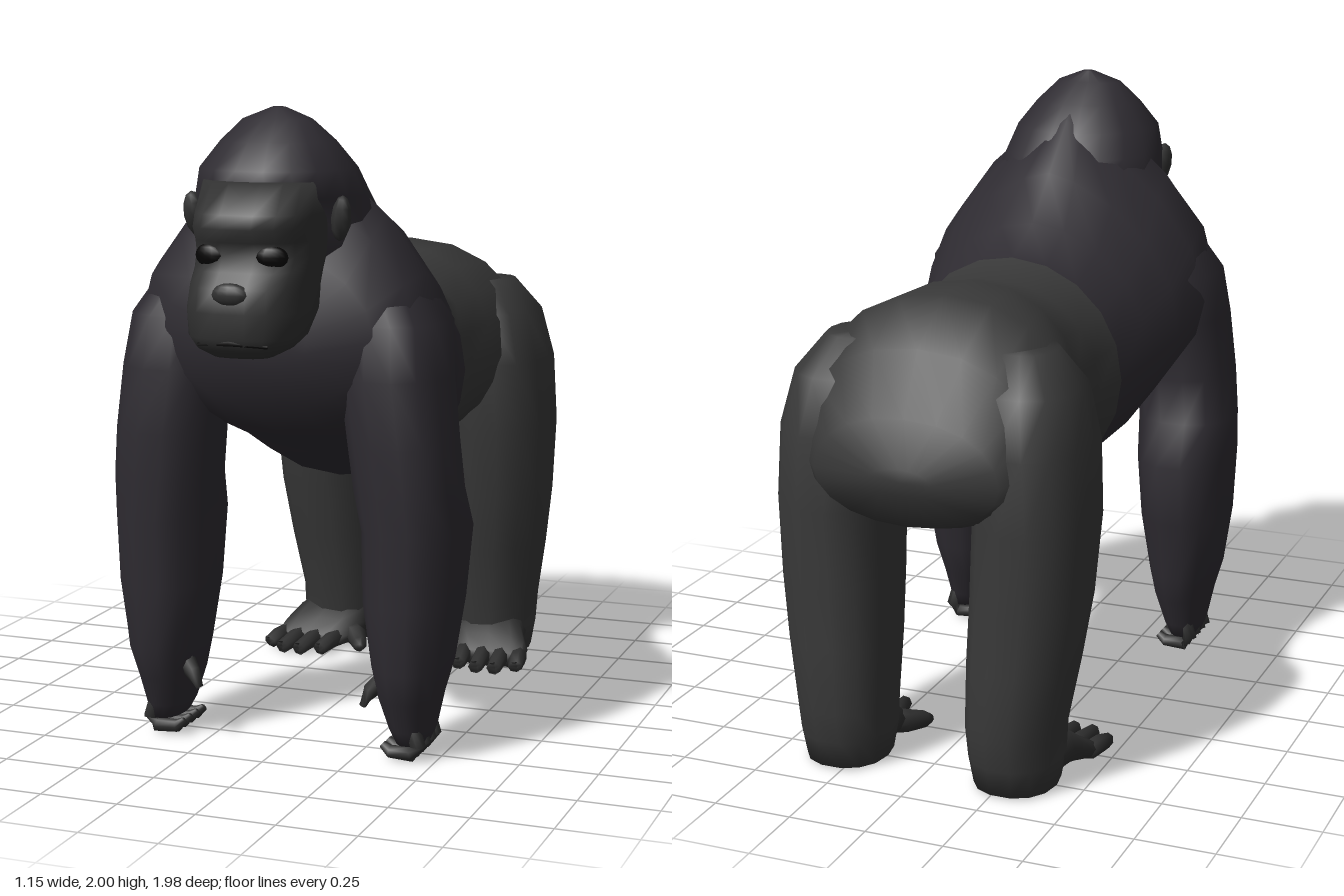
import * as THREE from 'three';

const mat = (color) => new THREE.MeshStandardMaterial({ color, roughness: 0.9 });
const darkFur = mat(0x2e2b31), greyFur = mat(0x383838), skin = mat(0x303030), black = mat(0x050404);
const V = (x, y, z) => new THREE.Vector3(x, y, z);

// Closed skin over a list of rings; winding is flipped if it comes out inside-out
function loft(rings) {
  const n = rings[0].length, pos = [], idx = [];
  rings.forEach((r) => r.forEach((p) => pos.push(p)));
  const mean = (r) => r.reduce((a, p) => a.add(p), V(0, 0, 0)).divideScalar(n);
  const first = pos.push(mean(rings[0])) - 1;
  const last = pos.push(mean(rings[rings.length - 1])) - 1;
  const end = (rings.length - 1) * n;
  for (let j = 0; j < n; j++) idx.push(first, (j + 1) % n, j);
  for (let i = 0; i < rings.length - 1; i++)
    for (let j = 0; j < n; j++) {
      const a = i * n + j, b = i * n + ((j + 1) % n);
      idx.push(a, b, a + n, b, b + n, a + n);
    }
  for (let j = 0; j < n; j++) idx.push(last, end + j, end + ((j + 1) % n));
  let volume = 0;
  for (let k = 0; k < idx.length; k += 3)
    volume += pos[idx[k]].dot(V(0, 0, 0).crossVectors(pos[idx[k + 1]], pos[idx[k + 2]]));
  if (volume < 0)
    for (let k = 0; k < idx.length; k += 3) [idx[k + 1], idx[k + 2]] = [idx[k + 2], idx[k + 1]];
  const g = new THREE.BufferGeometry().setFromPoints(pos);
  g.setIndex(idx);
  g.computeVertexNormals();
  return g;
}

const pw = (v, e) => Math.sign(v) * Math.abs(v) ** e;
const circle = (n, f) => Array.from({ length: n }, (_, i) => {
  const t = (i / n) * Math.PI * 2;
  return f(Math.cos(t), Math.sin(t));
});

// Horizontal ring: height, centre x and z, radii, squareness (below 1 is boxier)
const flatRing = (y, xc, zc, rx, rz, s = 1, e = 0.9, n = 14) =>
  circle(n, (c, d) => V(s * (xc + rx * pw(c, e)), y, zc + rz * pw(d, e)));

// Tapered digit along a few points
function digit(points, radii, n = 7) {
  return loft(points.map((p, i) => {
    const t = points[Math.min(i + 1, points.length - 1)].clone()
      .sub(points[Math.max(i - 1, 0)]).normalize();
    const ref = Math.abs(t.y) > 0.8 ? V(0, 0, 1) : V(0, 1, 0);
    const u = V(0, 0, 0).crossVectors(t, ref).normalize();
    const v = V(0, 0, 0).crossVectors(t, u);
    return circle(n, (c, d) => p.clone().addScaledVector(u, c * radii[i]).addScaledVector(v, d * radii[i]));
  }));
}

export function createModel() {
  const model = new THREE.Group();
  const add = (name, geometry, material, parent = model) => {
    const m = new THREE.Mesh(geometry, material);
    m.name = name;
    parent.add(m);
    return m;
  };

  // Torso sections: z, top, bottom, widest height, half width, pinch toward the spine
  const sections = [
    [-0.985, 1.04, 0.96, 1.0, 0.1, 1], [-0.94, 1.18, 0.85, 1.0, 0.3, 0.9],
    [-0.84, 1.37, 0.82, 1.05, 0.41, 0.9], [-0.64, 1.49, 0.81, 1.1, 0.44, 0.9],
    [-0.43, 1.49, 0.82, 1.12, 0.37, 0.9], [-0.25, 1.45, 0.79, 1.12, 0.355, 0.9],
    [-0.1, 1.49, 0.76, 1.12, 0.375, 1], [0.07, 1.57, 0.775, 1.15, 0.41, 1.1],
    [0.22, 1.71, 0.87, 1.2, 0.46, 1.4], [0.38, 1.86, 0.93, 1.27, 0.49, 1.9],
    [0.5, 1.93, 0.97, 1.32, 0.49, 2.1], [0.62, 1.8, 1.02, 1.34, 0.45, 1.8],
    [0.69, 1.6, 1.1, 1.32, 0.34, 1.4], [0.73, 1.42, 1.22, 1.3, 0.14, 1],
  ];
  const n = 20, split = 6;
  const torso = loft(sections.map(([z, top, bottom, mid, w, pinch]) => circle(n, (c, d) =>
    V(w * pw(c, d > 0 ? pinch : 0.95), mid + d * (d > 0 ? top - mid : mid - bottom), z))));
  const rearCount = n * 3 + split * n * 6;
  torso.addGroup(0, rearCount, 0);
  torso.addGroup(rearCount, torso.index.count - rearCount, 1);
  add('torso', torso, [greyFur, darkFur]);

  // Head sections: height, front z, back z, half width
  const headRing = ([y, front, back, w], e) =>
    flatRing(y, 0, (front + back) / 2, w, (front - back) / 2, 1, e, 18);
  add('face', loft([
    [1.285, 0.93, 0.79, 0.09], [1.31, 0.965, 0.74, 0.14], [1.345, 0.982, 0.68, 0.17],
    [1.42, 0.985, 0.6, 0.185], [1.49, 0.975, 0.55, 0.183], [1.535, 0.93, 0.52, 0.186],
    [1.58, 0.905, 0.5, 0.19], [1.62, 0.915, 0.48, 0.192], [1.66, 0.94, 0.46, 0.193],
    [1.7, 0.92, 0.45, 0.195], [1.79, 0.85, 0.45, 0.19],
  ].map((r) => headRing(r, 0.75))), skin);
  add('crown', loft([
    [1.5, 0.72, 0.3, 0.3], [1.66, 0.74, 0.25, 0.285], [1.74, 0.82, 0.29, 0.262],
    [1.82, 0.825, 0.35, 0.237], [1.9, 0.75, 0.43, 0.175], [1.965, 0.66, 0.53, 0.11],
    [2.0, 0.6, 0.57, 0.02],
  ].map((r) => headRing(r, 0.95))), darkFur);
  const nose = add('nose', new THREE.SphereGeometry(1, 12, 8), skin);
  nose.scale.set(0.06, 0.035, 0.025);
  nose.position.set(0, 1.475, 0.965);
  add('mouth', digit([V(-0.11, 1.325, 0.95), V(0, 1.335, 0.977), V(0.11, 1.325, 0.95)],
    [0.005, 0.008, 0.005]), black);

  for (const s of [1, -1]) {
    const side = s > 0 ? 'left' : 'right';
    const eye = add(side + 'Eye', new THREE.SphereGeometry(1, 12, 8), black);
    eye.scale.set(0.048, 0.034, 0.02);
    eye.position.set(s * 0.1, 1.58, 0.888);
    eye.rotation.y = s * 0.25;
    const ear = add(side + 'Ear', new THREE.SphereGeometry(1, 8, 6), skin);
    ear.scale.set(0.03, 0.07, 0.04);
    ear.position.set(s * 0.235, 1.68, 0.68);
    ear.rotation.set(0.2, s * 0.4, s * -0.15);

    // Arm: height, centre x, centre z, radius x, radius z
    const arm = new THREE.Group();
    arm.name = side + 'Arm';
    model.add(arm);
    add('armFur', loft([
      [1.53, 0.31, 0.48, 0.08, 0.12], [1.36, 0.35, 0.49, 0.16, 0.2],
      [1.2, 0.36, 0.53, 0.17, 0.185], [1.0, 0.385, 0.54, 0.167, 0.18],
      [0.85, 0.4, 0.53, 0.165, 0.183], [0.72, 0.413, 0.487, 0.16, 0.225],
      [0.5, 0.41, 0.505, 0.15, 0.198], [0.3, 0.41, 0.513, 0.118, 0.182],
      [0.2, 0.405, 0.513, 0.095, 0.15], [0.1, 0.41, 0.512, 0.07, 0.11],
      [0.055, 0.415, 0.512, 0.05, 0.095],
    ].map((r) => flatRing(...r, s))), darkFur, arm);
    // Knuckles rest on the ground with the fingers curled inward
    for (let i = 0; i < 4; i++) {
      const z = 0.435 + i * 0.051;
      add('finger', digit([V(s * 0.43, 0.12, z), V(s * 0.45, 0.055, z), V(s * 0.43, 0.028, z),
        V(s * 0.36, 0.03, z), V(s * 0.335, 0.05, z)], [0.025, 0.026, 0.024, 0.021, 0.012]), skin, arm);
    }
    add('thumb', digit([V(s * 0.34, 0.26, 0.57), V(s * 0.3, 0.22, 0.6), V(s * 0.275, 0.17, 0.6)],
      [0.03, 0.026, 0.012]), skin, arm);

    // Leg, in the same terms as the arm
    const leg = new THREE.Group();
    leg.name = side + 'Leg';
    model.add(leg);
    add('legFur', loft([
      [1.36, 0.27, -0.66, 0.1, 0.11], [1.25, 0.29, -0.67, 0.17, 0.2],
      [1.08, 0.31, -0.685, 0.19, 0.235], [0.85, 0.325, -0.695, 0.185, 0.235],
      [0.6, 0.315, -0.715, 0.18, 0.215], [0.4, 0.3, -0.74, 0.168, 0.2],
      [0.2, 0.285, -0.765, 0.15, 0.18], [0.1, 0.285, -0.76, 0.145, 0.165],
      [0.01, 0.285, -0.76, 0.13, 0.145],
    ].map((r) => flatRing(...r, s))), greyFur, leg);
    // Foot sections: z, centre x, half width, top
    add('foot', loft([
      [-0.8, 0.285, 0.12, 0.17], [-0.64, 0.295, 0.135, 0.16],
      [-0.57, 0.32, 0.145, 0.1], [-0.5, 0.345, 0.125, 0.055],
    ].map(([z, xc, w, top]) => circle(12, (c, d) =>
      V(s * (xc + w * pw(c, 0.8)), top / 2 + 0.003 + (top / 2) * pw(d, 0.8), z)))), skin, leg);
    [[0.25, -0.43], [0.32, -0.405], [0.385, -0.41], [0.45, -0.455]].forEach(([x, tip]) =>
      add('toe', digit([V(s * (x - 0.01), 0.04, -0.55), V(s * x, 0.038, -0.49),
        V(s * (x + 0.01), 0.028, tip + 0.02), V(s * (x + 0.012), 0.018, tip)],
      [0.03, 0.03, 0.025, 0.012]), skin, leg));
    add('bigToe', digit([V(s * 0.25, 0.06, -0.63), V(s * 0.18, 0.045, -0.57),
      V(s * 0.145, 0.032, -0.51), V(s * 0.135, 0.025, -0.48)], [0.045, 0.038, 0.028, 0.015]), skin, leg);
  }
  return model;
}
